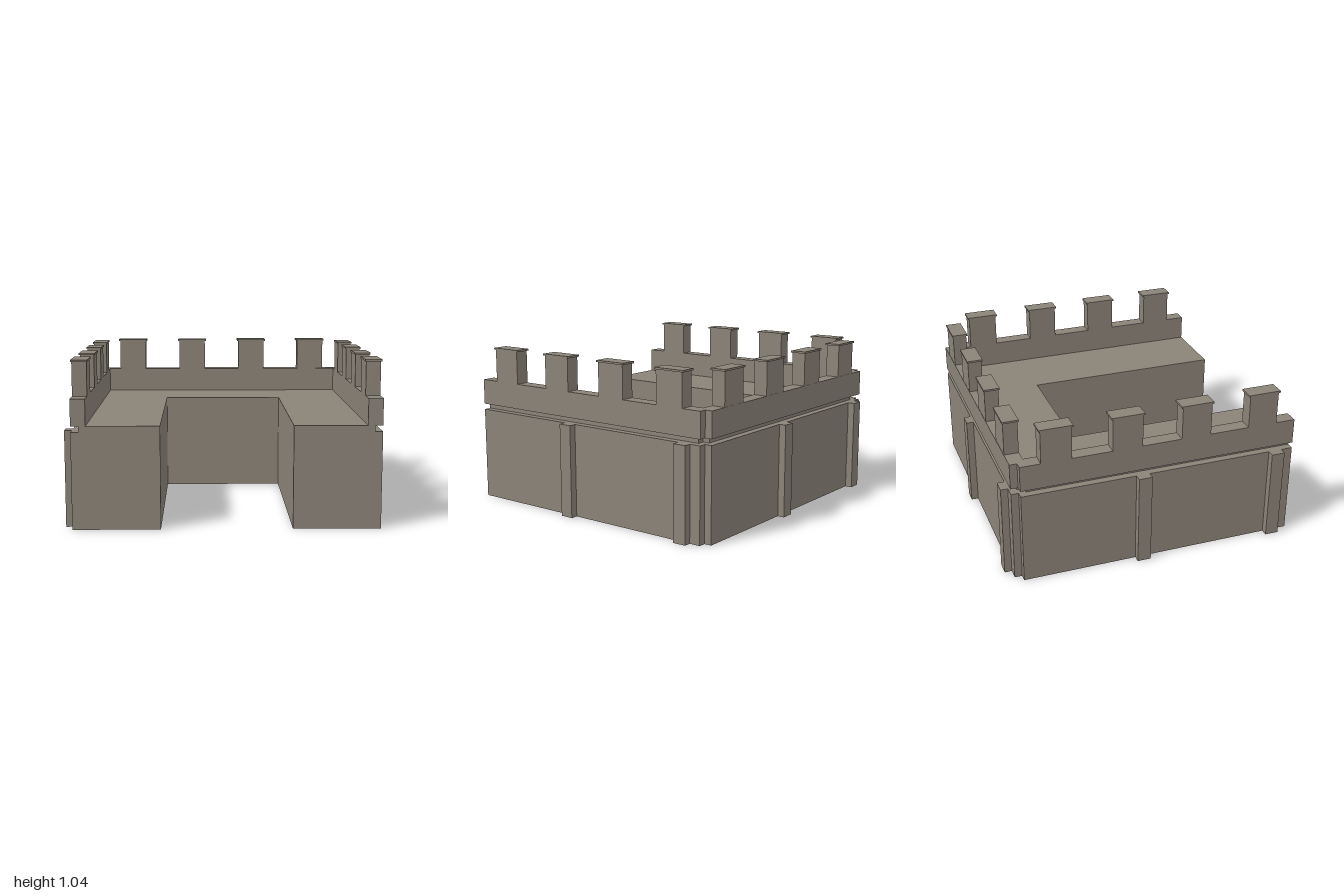
import * as THREE from 'three';

const FRONT = 0.953;

// U-shaped slab open to the front, with a square notch cut from both back corners
function uSlab(name, material, outerX, backZ, notch, innerX, innerZ, y0, y1) {
  const half = [
    [innerX, innerZ], [innerX, FRONT], [outerX, FRONT],
    [outerX, backZ + notch], [outerX - notch, backZ + notch], [outerX - notch, backZ],
  ];
  const mirrored = half.map(([x, z]) => [-x, z]).reverse();
  const outline = [...half, ...mirrored].map(([x, z]) => new THREE.Vector2(x, -z));
  const geometry = new THREE.ExtrudeGeometry(new THREE.Shape(outline), {
    depth: y1 - y0, bevelEnabled: false,
  });
  geometry.rotateX(-Math.PI / 2).translate(0, y0, 0);
  const mesh = new THREE.Mesh(geometry, material);
  mesh.name = name;
  return mesh;
}

function box(name, material, w, h, d, x, y0, z) {
  const mesh = new THREE.Mesh(new THREE.BoxGeometry(w, h, d), material);
  mesh.position.set(x, y0 + h / 2, z);
  mesh.name = name;
  return mesh;
}

export function createModel() {
  const stone = new THREE.MeshStandardMaterial({ color: 0x8b8378 });
  stone.name = 'stone';
  const group = new THREE.Group();
  group.name = 'castleWall';

  // Wall body, recessed course carrying the walkway, and parapet
  group.add(
    uSlab('wallBody', stone, 0.953, -0.91, 0.048, 0.408, -0.363, 0, 0.607),
    uSlab('walkway', stone, 0.905, -0.862, 0.045, 0.408, -0.363, 0.607, 0.645),
    uSlab('parapet', stone, 0.953, -0.912, 0.048, 0.861, -0.817, 0.645, 0.812),
  );

  // Merlons with thin overhanging caps
  function merlon(x, z, alongX) {
    const m = new THREE.Group();
    m.name = 'merlon';
    m.add(
      box('merlonPost', stone, 0.195, 0.214, 0.092, 0, 0, 0),
      box('merlonCap', stone, 0.214, 0.012, 0.104, 0, 0.214, 0),
    );
    m.position.set(x, 0.812, z);
    if (!alongX) m.rotation.y = Math.PI / 2;
    group.add(m);
  }
  for (let i = 0; i < 4; i++) {
    merlon(-0.682 + i * 0.4535, -0.8645, true);
    for (const side of [-1, 1]) merlon(side * 0.907, 0.726 - i * 0.4535, false);
  }

  // Buttresses: two on each outer face
  const width = 0.088, depth = 0.047;
  for (const z of [0.165, -0.745]) {
    group.add(box('buttress', stone, depth, 0.607, width, 0.9765, 0, z));
  }
  for (const z of [-0.078, 0.832]) {
    group.add(box('buttress', stone, depth, 0.607, width, -0.9765, 0, z));
  }
  for (const x of [-0.79, 0.12]) {
    group.add(box('buttress', stone, width, 0.607, depth, x, 0, -0.9325));
  }

  return group;
}
